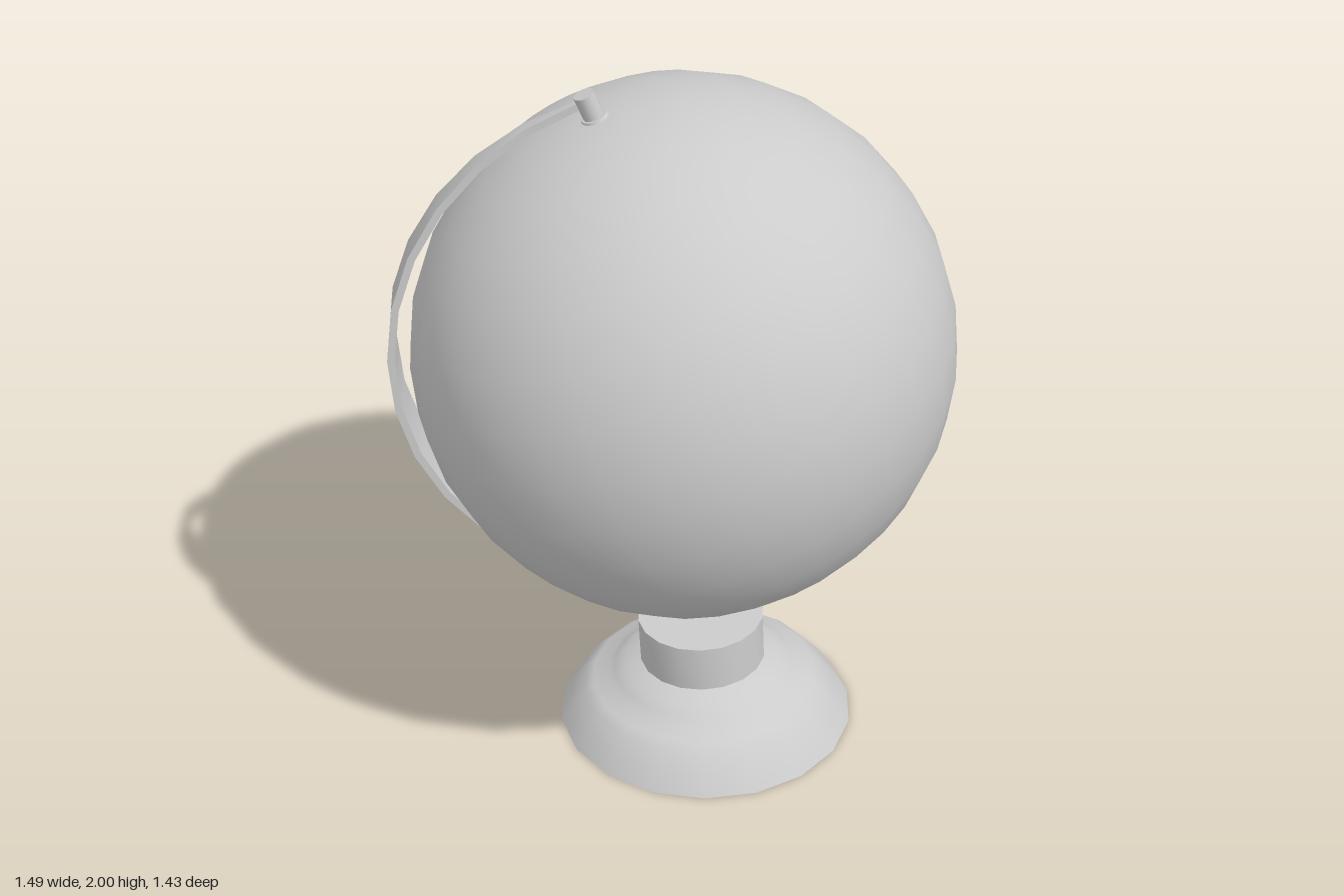
import * as THREE from 'three';
import { toCreasedNormals } from 'three/addons/utils/BufferGeometryUtils.js';

const material = new THREE.MeshStandardMaterial({ color: 0xcccccc });
const V = (x, y, z) => new THREE.Vector3(x, y, z);

function part(name, geometry, crease = 0.6) {
  const mesh = new THREE.Mesh(crease ? toCreasedNormals(geometry, crease) : geometry, material);
  mesh.name = name;
  return mesh;
}

// cylinder running from point a to point b
function rod(name, a, b, ra, rb, sides) {
  const dir = b.clone().sub(a);
  const mesh = part(name, new THREE.CylinderGeometry(rb, ra, dir.length(), sides));
  mesh.position.copy(a).add(b).multiplyScalar(0.5);
  mesh.quaternion.setFromUnitVectors(V(0, 1, 0), dir.normalize());
  return mesh;
}

// curved strap: wide in the middle, tapering towards both poles
function strapGeometry() {
  const segments = 16, cx = 0.015, cy = 1.25, thickness = 0.02;
  const positions = [], index = [];
  for (let i = 0; i <= segments; i++) {
    const t = i / segments;
    const a = THREE.MathUtils.degToRad(108.5 + t * 187);
    const swell = Math.sin(Math.PI * t);
    const front = -0.007, back = -0.022 - 0.132 * swell;
    const rFront = 0.757, rBack = rFront - 0.016 * swell;
    for (const [r, z] of [[rFront, front], [rBack, back], [rBack - thickness, back], [rFront - thickness, front]]) {
      positions.push(cx + r * Math.cos(a), cy + r * Math.sin(a), z);
    }
    if (i === segments) continue;
    for (let k = 0; k < 4; k++) {
      const p = i * 4 + k, q = i * 4 + (k + 1) % 4;
      index.push(p, q, p + 4, q, q + 4, p + 4);
    }
  }
  const e = segments * 4;
  index.push(0, 2, 1, 0, 3, 2, e, e + 1, e + 2, e, e + 2, e + 3);
  const g = new THREE.BufferGeometry();
  g.setAttribute('position', new THREE.Float32BufferAttribute(positions, 3));
  g.setIndex(index);
  // orient faces outwards
  const p = g.attributes.position, n = V(0, 0, 0);
  const [A, B, C] = [0, 1, 2].map(k => V(0, 0, 0).fromBufferAttribute(p, index[k]));
  n.crossVectors(B.sub(A), C.sub(A));
  if (n.dot(V(A.x - cx, A.y - cy, 0)) < 0) {
    for (let k = 0; k < index.length; k += 3) [index[k], index[k + 1]] = [index[k + 1], index[k]];
    g.setIndex(index);
  }
  return g;
}

// stepped turned base, leaning slightly above its flat foot
function baseGeometry() {
  const profile = [
    [0, 0], [0.42, 0], [0.385, 0.055], [0.345, 0.105], [0.32, 0.125], [0.275, 0.14],
    [0.255, 0.16], [0.225, 0.18], [0.178, 0.198], [0.178, 0.338], [0, 0.338],
  ].map(([r, y]) => new THREE.Vector2(r, y));
  const g = new THREE.LatheGeometry(profile, 18, Math.PI / 2);
  const p = g.attributes.position;
  for (let i = 0; i < p.count; i++) {
    const x = p.getX(i), y = p.getY(i);
    p.setX(i, x - 0.05 * y);
    p.setY(i, y + 0.035 * x * Math.min(1, y / 0.2));
  }
  return g;
}

export function createModel() {
  const group = new THREE.Group();

  const ball = part('globe', new THREE.SphereGeometry(0.717, 32, 16), 0);
  ball.position.set(0.033, 1.247, 0);
  ball.rotation.z = THREE.MathUtils.degToRad(22.5);
  group.add(ball);

  group.add(part('meridianStrap', strapGeometry()));

  // axis pins with small collars where they meet the globe
  const top = V(-0.217, 1.99, -0.004), bottom = V(0.364, 0.544, -0.004);
  const along = bottom.clone().sub(top).normalize();
  for (const [name, tip, s] of [['top', top, 1], ['bottom', bottom, -1]]) {
    const at = d => tip.clone().addScaledVector(along, d * s);
    group.add(rod(name + 'Pin', at(0.12), tip, 0.027, 0.027, 12));
    group.add(rod(name + 'Collar', at(0.085), at(0.064), 0.042, 0.034, 16));
  }

  const base = part('base', baseGeometry());
  base.position.set(0.105, 0, -0.025);
  base.scale.z = 0.97;
  group.add(base);

  group.add(rod('stem', V(0.093, 0.32, -0.025), V(0.082, 0.525, -0.025), 0.023, 0.023, 12));
  return group;
}
